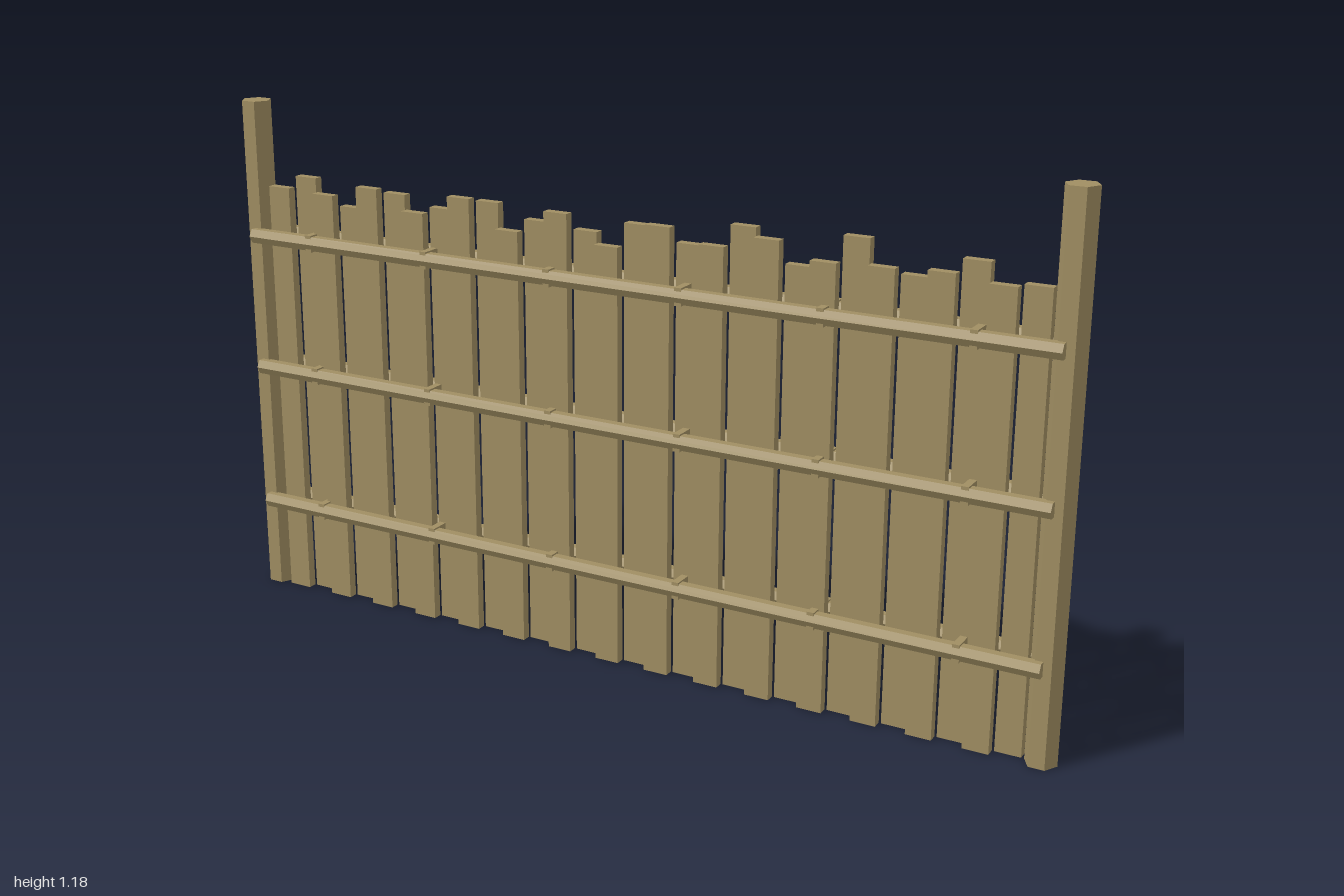
import * as THREE from 'three';

export function createModel() {
  const fence = new THREE.Group();
  fence.name = 'fence';

  const wood = new THREE.MeshStandardMaterial({ color: 0xa08e62, flatShading: true });
  wood.name = 'weathered wood';

  const add = (name, geometry, x, y, z) => {
    const mesh = new THREE.Mesh(geometry, wood);
    mesh.name = name;
    mesh.position.set(x, y, z);
    fence.add(mesh);
    return mesh;
  };

  // Hexagonal end posts, corners pointing along x
  const postHeight = 1.18;
  const postGeometry = new THREE.CylinderGeometry(0.0345, 0.0345, postHeight, 6).rotateY(Math.PI / 2);
  for (const side of [-1, 1]) {
    add(side < 0 ? 'rightPost' : 'leftPost', postGeometry, side * 0.9655, postHeight / 2, 0);
  }

  // Uneven planks, staggered in front of and behind the centre line
  const heights = [
    0.987, 1.013, 0.982, 0.956, 1.01, 1.0, 0.968, 0.98, 1.014, 1.008,
    0.955, 0.98, 1.008, 0.972, 0.95, 1.0, 1.007, 0.972, 0.98, 1.024,
    1.008, 0.957, 0.976, 1.03, 0.981, 0.967, 0.987, 1.013, 0.976, 0.978,
  ];
  const pitch = 0.0618;
  heights.forEach((h, i) => {
    const x = (i - (heights.length - 1) / 2) * pitch;
    const z = i % 2 === 0 ? 0.0105 : -0.0105;
    add('plank', new THREE.BoxGeometry(0.057, h, 0.021), x, h / 2, z);
  });

  // Paired hexagonal rails, corners pointing along z, with ties through the gaps
  const railGeometry = new THREE.CylinderGeometry(0.0185, 0.0185, 1.93, 6).rotateZ(Math.PI / 2);
  const tieGeometry = new THREE.BoxGeometry(0.016, 0.039, 0.092);
  for (const y of [0.218, 0.554, 0.87]) {
    add('frontRail', railGeometry, 0, y, 0.0345);
    add('backRail', railGeometry, 0, y, -0.0345);
    for (let i = 0; i < 6; i++) add('tie', tieGeometry, -0.8 + i * 0.318, y, 0);
  }

  return fence;
}
